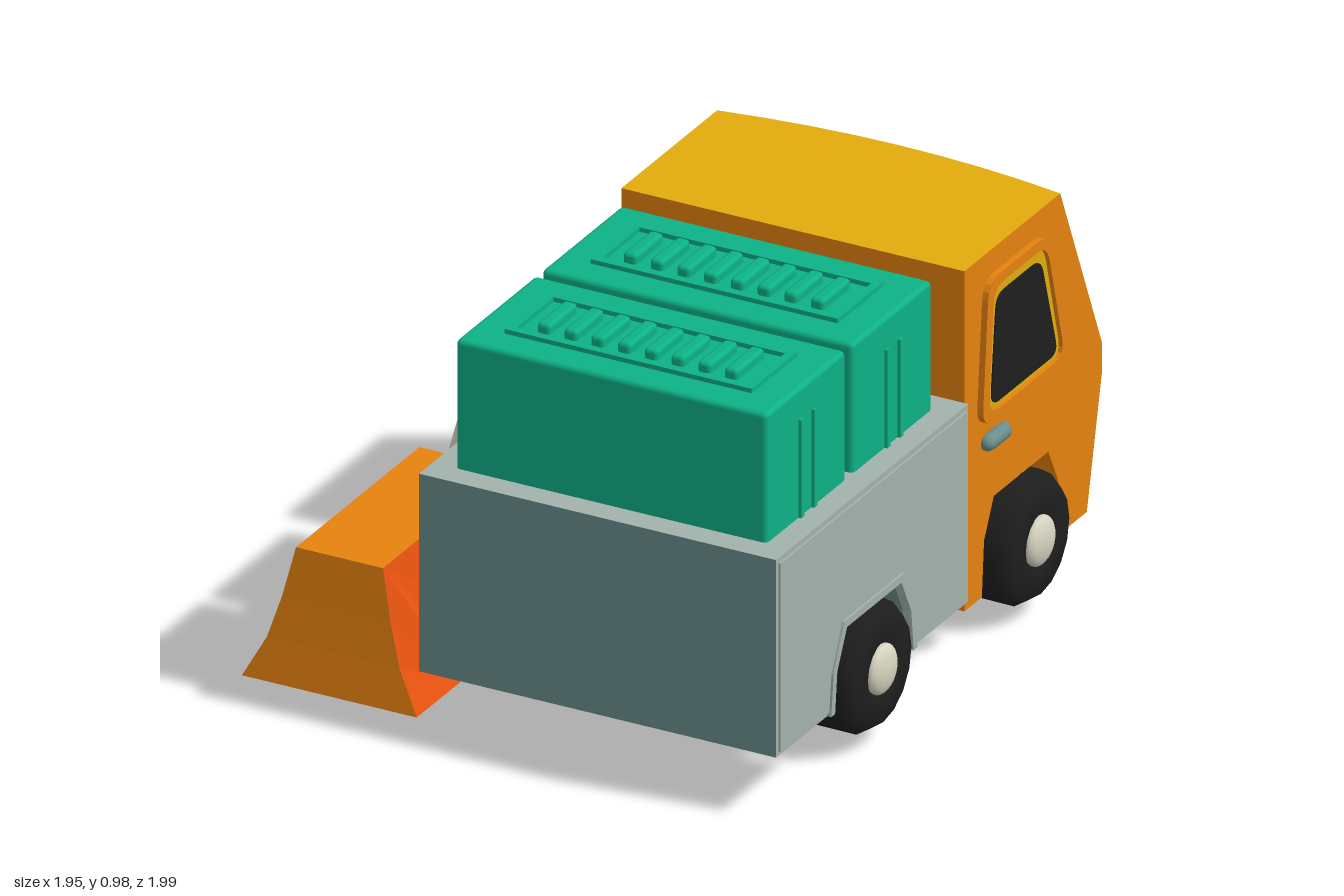
import * as THREE from 'three';
import { RoundedBoxGeometry } from 'three/addons/geometries/RoundedBoxGeometry.js';

const mat = (name, color, double) => {
  const m = new THREE.MeshStandardMaterial({ color });
  m.name = name;
  if (double) m.side = THREE.DoubleSide;
  return m;
};
const M = {
  orange: mat('orange', 0xe6820f, true), yellow: mat('yellow', 0xe2aa0c), teal: mat('teal green', 0x0db286),
  light: mat('light grey', 0xa2b2ac), slate: mat('slate grey', 0x6a8f8c, true), black: mat('black', 0x1e1e1e),
  cream: mat('cream', 0xd6d3c0, true), red: mat('red orange', 0xea5410, true),
};

function add(parent, name, geo, material, x = 0, y = 0, z = 0) {
  const m = new THREE.Mesh(geo, material);
  m.name = name;
  m.position.set(x, y, z);
  parent.add(m);
  return m;
}

// Extrude a (z, y) outline across x, centred on x = 0
function across(pts, width, steps = 1, hole) {
  const shape = new THREE.Shape(pts.map(p => new THREE.Vector2(...p)));
  if (hole) shape.holes.push(new THREE.Path(hole.map(p => new THREE.Vector2(...p))));
  const g = new THREE.ExtrudeGeometry(shape, { depth: width, steps, bevelEnabled: false });
  g.rotateY(-Math.PI / 2);
  return g.translate(width / 2, 0, 0);
}

// Move every vertex by a rule
function warp(g, rule) {
  const p = g.attributes.position, v = new THREE.Vector3();
  for (let i = 0; i < p.count; i++) {
    rule(v.fromBufferAttribute(p, i));
    p.setXYZ(i, v.x, v.y, v.z);
  }
  g.computeVertexNormals();
  return g;
}

// Choose a material index per triangle; -1 leaves the face open
function paint(g, pick) {
  g.clearGroups();
  const p = g.attributes.position, t = new THREE.Triangle(), n = new THREE.Vector3(), c = new THREE.Vector3();
  for (let i = 0; i < p.count; i += 3) {
    t.setFromAttributeAndIndices(p, i, i + 1, i + 2);
    const k = pick(t.getNormal(n), t.getMidpoint(c));
    if (k >= 0) g.addGroup(i, 3, k);
  }
  return g;
}

// Linear lookup in [key, value] pairs
function lookup(table, k) {
  for (let i = 1; i < table.length; i++) {
    const [a, b] = [table[i - 1], table[i]];
    if (k <= b[0]) return a[1] + (b[1] - a[1]) * (k - a[0]) / (b[0] - a[0]);
  }
  return table[table.length - 1][1];
}

const FRONT = [[0.115, 0.712], [0.43, 0.782], [0.5, 0.782], [0.95, 0.59]];
const bulge = x => 0.04 * (1 - (x / 0.43) ** 2);
const frontZ = (x, y) => lookup(FRONT, y) + bulge(x);
const arch = (z, y0) => [[z - 0.18, y0], [z - 0.17, 0.25], [z - 0.125, 0.34], [z + 0.125, 0.34], [z + 0.17, 0.25], [z + 0.18, y0]];
const FRONT_AXLE = 0.41, REAR_AXLE = -0.315;

// Curved plate lying on the sloped front of the cab
function frontPatch(bl, br, tl, tr, y0, y1, lift) {
  return warp(new THREE.PlaneGeometry(1, 1, 10, 1), v => {
    const u = v.x + 0.5, t = v.y + 0.5;
    const x = (bl + (br - bl) * u) * (1 - t) + (tl + (tr - tl) * u) * t;
    const y = y0 + (y1 - y0) * t;
    v.set(x, y, frontZ(x, y) + lift);
  });
}

function roundedOutline(pts, r) {
  const out = [];
  pts.forEach((p, i) => {
    const P = new THREE.Vector2(...p);
    const near = q => new THREE.Vector2(...q).sub(P).setLength(r).add(P);
    const a = near(pts[(i + pts.length - 1) % pts.length]), b = near(pts[(i + 1) % pts.length]);
    new THREE.QuadraticBezierCurve(a, P, b).getPoints(4).forEach(q => out.push([q.x, q.y]));
  });
  return out;
}

function buildCab(truck) {
  const cab = new THREE.Group();
  cab.name = 'cab';
  truck.add(cab);
  const outline = [[0.15, 0.115], ...arch(FRONT_AXLE, 0.115), ...FRONT.map(([y, z]) => [z, y]), [0.15, 0.95]];
  const body = warp(across(outline, 0.86, 8), v => { if (v.z > 0.585 && (v.y > 0.4 || v.z > 0.65)) v.z += bulge(v.x); });
  paint(body, (n, c) => (n.y > 0.9 && c.y > 0.9) || (n.z > 0.3 && c.y > 0.43) ? 1 : 0);
  add(cab, 'cabBody', body, [M.orange, M.yellow]);
  add(cab, 'cabFloor', new THREE.BoxGeometry(0.36, 0.26, 0.44), M.orange, 0, 0.246, FRONT_AXLE);

  // Windscreen with two slanted reflections
  add(cab, 'windscreen', frontPatch(-0.345, 0.33, -0.365, 0.355, 0.55, 0.825, 0.004), M.black);
  add(cab, 'windscreenStripe', frontPatch(-0.16, 0.02, -0.33, -0.15, 0.55, 0.825, 0.008), M.light);
  add(cab, 'windscreenStripe', frontPatch(0.15, 0.285, 0.02, 0.165, 0.55, 0.825, 0.008), M.light);

  const frame = roundedOutline([[0.205, 0.54], [0.61, 0.54], [0.515, 0.89], [0.235, 0.89]], 0.05);
  const inner = roundedOutline([[0.235, 0.56], [0.583, 0.56], [0.503, 0.865], [0.26, 0.865]], 0.045);
  const pane = roundedOutline([[0.258, 0.572], [0.565, 0.572], [0.488, 0.835], [0.285, 0.835]], 0.035);
  for (const s of [-1, 1]) {
    // Door window and handle
    add(cab, 'windowFrame', across(frame, 0.03, 1, inner), M.orange, s * 0.43);
    add(cab, 'windowRim', across(inner, 0.008), M.yellow, s * 0.431);
    add(cab, 'windowGlass', across(pane, 0.008), M.black, s * 0.434);
    const handle = add(cab, 'doorHandle', new THREE.CapsuleGeometry(0.02, 0.07, 4, 10), M.slate, s * 0.437, 0.49, 0.28);
    handle.rotation.x = Math.PI / 2;

    // Headlight, slightly taller than wide
    const lamp = new THREE.Group();
    lamp.name = 'headlight';
    lamp.position.set(s * 0.263, 0.395, 0.797);
    lamp.rotation.y = s * 0.08;
    lamp.scale.x = 0.9;
    cab.add(lamp);
    const ring = add(lamp, 'headlightRing', new THREE.CylinderGeometry(0.09, 0.105, 0.08, 24), M.teal);
    ring.rotation.x = Math.PI / 2;
    add(lamp, 'headlightLens', new THREE.SphereGeometry(0.078, 20, 12), M.cream, 0, 0.005, 0.035).scale.z = 0.35;
  }
}

function buildBed(truck) {
  const bed = new THREE.Group();
  bed.name = 'cargoBed';
  truck.add(bed);
  const body = across([[-0.747, 0.15], ...arch(REAR_AXLE, 0.15), [0.135, 0.15], [0.135, 0.635], [-0.747, 0.635]], 0.895);
  paint(body, n => Math.abs(n.x) > 0.5 || n.y > 0.9 ? 0 : 1);
  add(bed, 'bedBody', body, [M.light, M.slate]);
  const panel = across([[-0.735, 0.16], ...arch(REAR_AXLE, 0.16), [0.123, 0.16], [0.123, 0.622], [-0.735, 0.622]], 0.008);
  const lipIn = arch(REAR_AXLE, 0.15);
  const lipOut = lipIn.map(([z, y]) => [REAR_AXLE + (z - REAR_AXLE) * 1.1, y > 0.3 ? y + 0.018 : y]);
  const lip = across([...lipIn, ...lipOut.reverse()], 0.022);
  for (const s of [-1, 1]) {
    add(bed, 'bedSidePanel', panel, M.light, s * 0.4485);
    add(bed, 'archLip', lip, M.light, s * 0.447);
  }
}

function buildBin(truck, z) {
  const bin = new THREE.Group();
  bin.name = 'storageBin';
  bin.position.z = z;
  truck.add(bin);
  add(bin, 'binBody', new RoundedBoxGeometry(0.78, 0.35, 0.365, 2, 0.012), M.teal, 0, 0.776, 0);
  // Raised lid border with a row of ribs
  const rect = (a, b) => [[-a, -b], [a, -b], [a, b], [-a, b]].map(p => new THREE.Vector2(...p));
  const border = new THREE.Shape(rect(0.31, 0.105));
  border.holes.push(new THREE.Path(rect(0.29, 0.085)));
  const g = new THREE.ExtrudeGeometry(border, { depth: 0.012, bevelEnabled: false }).rotateX(-Math.PI / 2);
  add(bin, 'lidBorder', g, M.teal, 0, 0.95, 0);
  for (let i = 0; i < 8; i++)
    add(bin, 'lidRib', new RoundedBoxGeometry(0.034, 0.04, 0.13, 2, 0.01), M.teal, (i - 3.5) * 0.067, 0.955, 0);
  // End panels with an upright rib pair
  for (const s of [-1, 1]) for (const k of [-1, 1])
    add(bin, 'binRib', new THREE.BoxGeometry(0.012, 0.24, 0.014), M.teal, s * 0.391, 0.755, k * 0.03);
}

function buildWheels(truck) {
  const tyre = new THREE.LatheGeometry([[0, -0.14], [0.125, -0.14], [0.153, -0.115], [0.155, 0.125], [0.13, 0.16], [0.07, 0.16], [0.062, 0.148], [0, 0.148]]
    .map(p => new THREE.Vector2(...p)), 16);
  for (const z of [FRONT_AXLE, REAR_AXLE]) for (const s of [-1, 1]) {
    const wheel = new THREE.Group();
    wheel.name = 'wheel';
    wheel.position.set(s * 0.32, 0.187, z);
    wheel.rotation.z = -s * Math.PI / 2;
    truck.add(wheel);
    add(wheel, 'tyre', tyre, M.black);
    add(wheel, 'hub', new THREE.SphereGeometry(0.06, 18, 10), M.cream, 0, 0.156, 0).scale.y = 0.4;
  }
  const axle = add(truck, 'rearAxle', new THREE.CylinderGeometry(0.135, 0.135, 0.5, 18), M.black, 0, 0.187, REAR_AXLE);
  axle.rotation.z = Math.PI / 2;
}

// Flared barrier with an arch through its sides, open underneath
function buildBarrier(root, z, side, end, inside) {
  const flare = [[0, 0.219], [0.1, 0.166], [0.2, 0.136], [0.32, 0.109]];
  const half = [[0.33, 0], [0.312, 0.1], [0.298, 0.2], [0.283, 0.32]];
  const outline = [[-0.33, 0], [-0.115, 0], [-0.112, 0.1], [-0.108, 0.205], [0.108, 0.205], [0.112, 0.1], [0.115, 0], ...half,
    ...half.slice(1).reverse().map(([a, y]) => [-a, y])];
  const g = warp(across(outline, 2), v => { v.x *= lookup(flare, v.y); });
  paint(g, (n, c) => {
    if (c.y < 0.01) return -1;
    if (Math.abs(n.x) > 0.5) return 0;
    return Math.abs(c.z) < 0.12 && c.y < 0.25 ? 2 : 1;
  });
  add(root, 'roadBarrier', g, [side, end, inside], 0.496, 0, z);
}

export function createModel() {
  const root = new THREE.Group();
  root.name = 'utilityTruckWithBarriers';
  const yard = new THREE.Group();
  yard.name = 'yard';
  yard.rotation.y = 2.529;
  root.add(yard);

  const truck = new THREE.Group();
  truck.name = 'truck';
  truck.position.x = -0.21;
  yard.add(truck);
  buildCab(truck);
  buildBed(truck);
  buildBin(truck, -0.107);
  buildBin(truck, -0.502);
  buildWheels(truck);

  buildBarrier(yard, -0.355, M.red, M.orange, M.red);
  buildBarrier(yard, 0.392, M.cream, M.cream, M.slate);
  return root;
}
